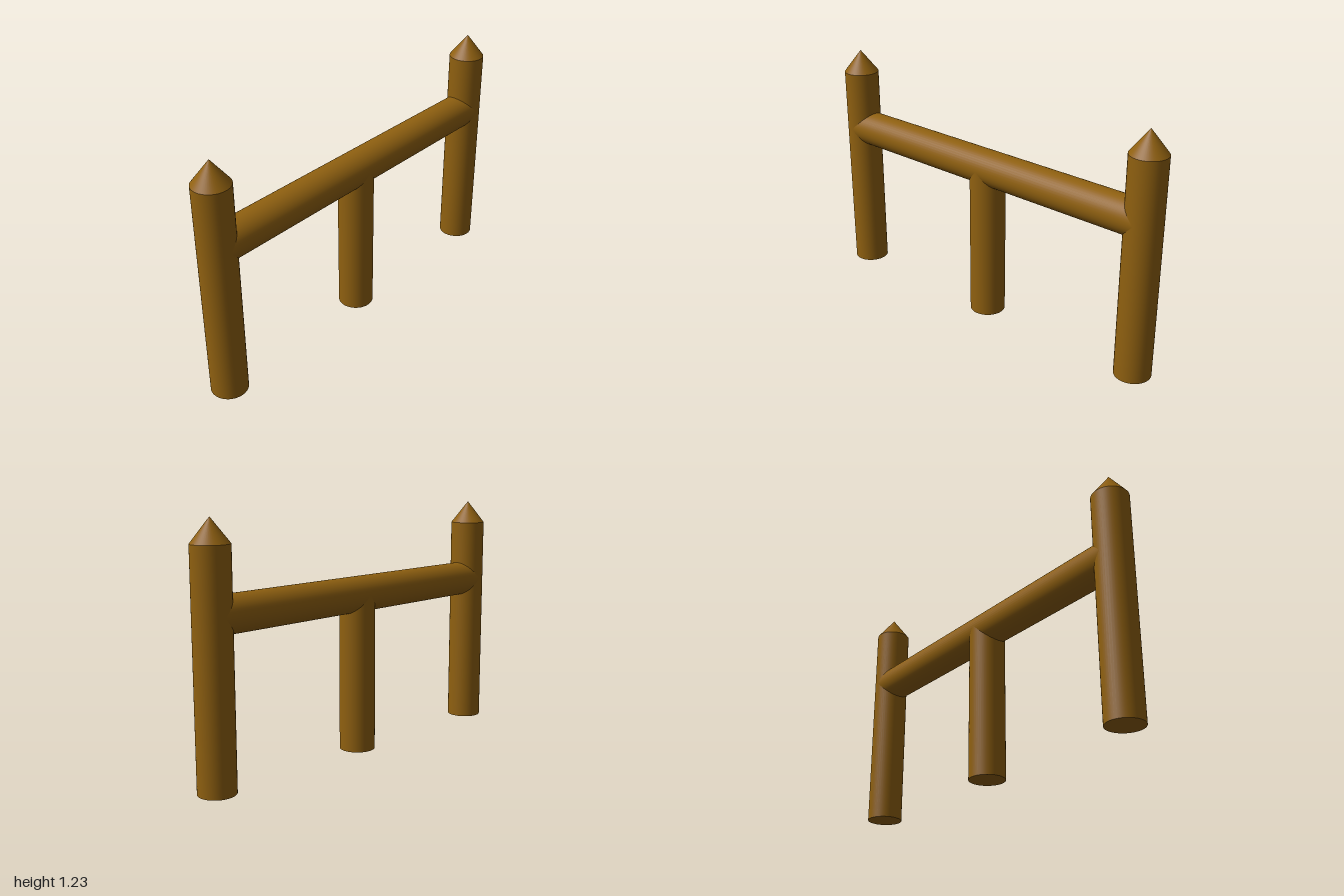
import * as THREE from 'three';

const RADIUS = 0.09, SPAN = 0.91, POST_TOP = 1.11, TIP = 1.225, RAIL_Y = 0.797;

export function createModel() {
  const model = new THREE.Group();
  model.name = 'fence';
  const wood = new THREE.MeshStandardMaterial({ color: 0x8f6010 });

  const add = (parent, name, geometry, y) => {
    const mesh = new THREE.Mesh(geometry, wood);
    mesh.name = name;
    mesh.position.y = y;
    parent.add(mesh);
    return mesh;
  };
  const log = (length) => new THREE.CylinderGeometry(RADIUS, RADIUS, length, 48);

  // Pointed end posts
  for (const [name, side] of [['frontPost', 1], ['backPost', -1]]) {
    const post = new THREE.Group();
    post.name = name;
    post.position.z = side * SPAN;
    add(post, name + 'Shaft', log(POST_TOP), POST_TOP / 2);
    const height = TIP - POST_TOP;
    add(post, name + 'Tip', new THREE.ConeGeometry(RADIUS, height, 48, 1, true), POST_TOP + height / 2);
    model.add(post);
  }

  // Short middle post, ending inside the rail
  add(model, 'middlePost', log(RAIL_Y), RAIL_Y / 2);

  // Horizontal rail, ending at the end posts' axes
  add(model, 'rail', log(2 * SPAN), RAIL_Y).rotation.x = Math.PI / 2;

  return model;
}
